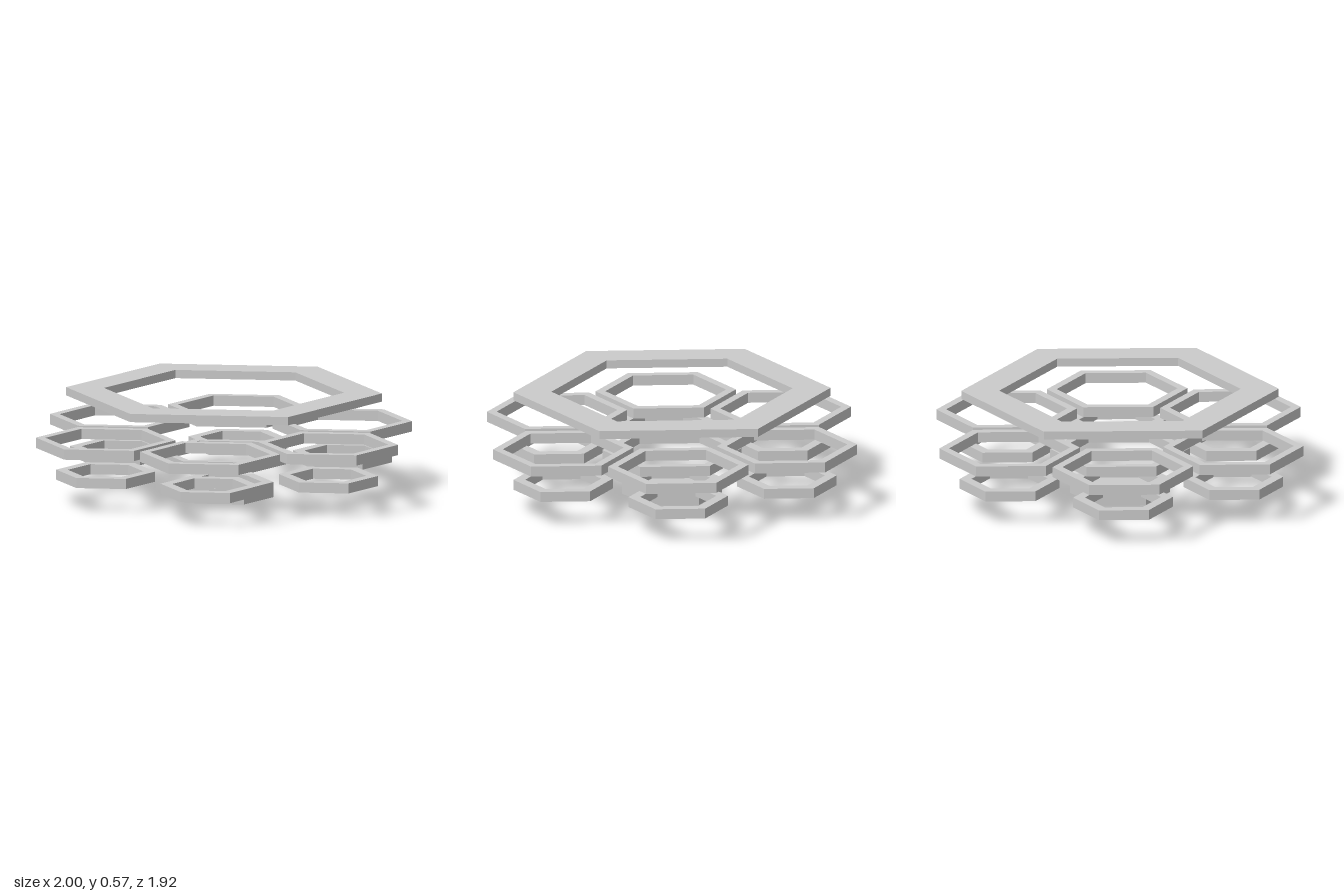
import * as THREE from 'three';

const material = new THREE.MeshStandardMaterial({ color: 0xcccccc, flatShading: true });

// Six corners of a hexagon with points towards +z and -z
function hexPoints(radius) {
  return Array.from({ length: 6 }, (_, i) => {
    const a = Math.PI / 6 + (i * Math.PI) / 3;
    return new THREE.Vector2(radius * Math.cos(a), radius * Math.sin(a));
  });
}

// Flat hexagonal prism standing on y = 0, with a hole when inner > 0
function hexGeometry(outer, inner, height) {
  const shape = new THREE.Shape(hexPoints(outer));
  if (inner > 0) shape.holes.push(new THREE.Path(hexPoints(inner)));
  const geometry = new THREE.ExtrudeGeometry(shape, { depth: height, bevelEnabled: false });
  return geometry.rotateX(-Math.PI / 2);
}

function addPart(parent, name, geometry, x, y, z) {
  const mesh = new THREE.Mesh(geometry, material);
  mesh.name = name;
  mesh.position.set(x, y, z);
  parent.add(mesh);
}

export function createModel() {
  const model = new THREE.Group();
  model.name = 'hexagonRingStack';

  // Central tray: solid floor with a raised rim
  const tray = new THREE.Group();
  tray.name = 'centreTray';
  addPart(tray, 'trayFloor', hexGeometry(0.262, 0, 0.027), 0, 0, 0);
  addPart(tray, 'trayRim', hexGeometry(0.262, 0.2, 0.054), 0, 0.027, 0);
  model.add(tray);

  // Ring floating above the tray
  addPart(model, 'centreRing', hexGeometry(0.367, 0.318, 0.054), 0, 0.188, 0);

  // Six pairs of rings around the centre: small below, large above
  const lower = hexGeometry(0.262, 0.2, 0.054);
  const upper = hexGeometry(0.3695, 0.318, 0.055);
  for (let i = 0; i < 6; i++) {
    const a = (i * Math.PI) / 3;
    const x = 0.68 * Math.cos(a);
    const z = 0.68 * Math.sin(a);
    addPart(model, `lowerRing${i + 1}`, lower, x, 0.134, z);
    addPart(model, `upperRing${i + 1}`, upper, x, 0.302, z);
  }

  // Wide crowning ring
  addPart(model, 'topRing', hexGeometry(0.835, 0.635, 0.044), 0, 0.522, 0);

  return model;
}
